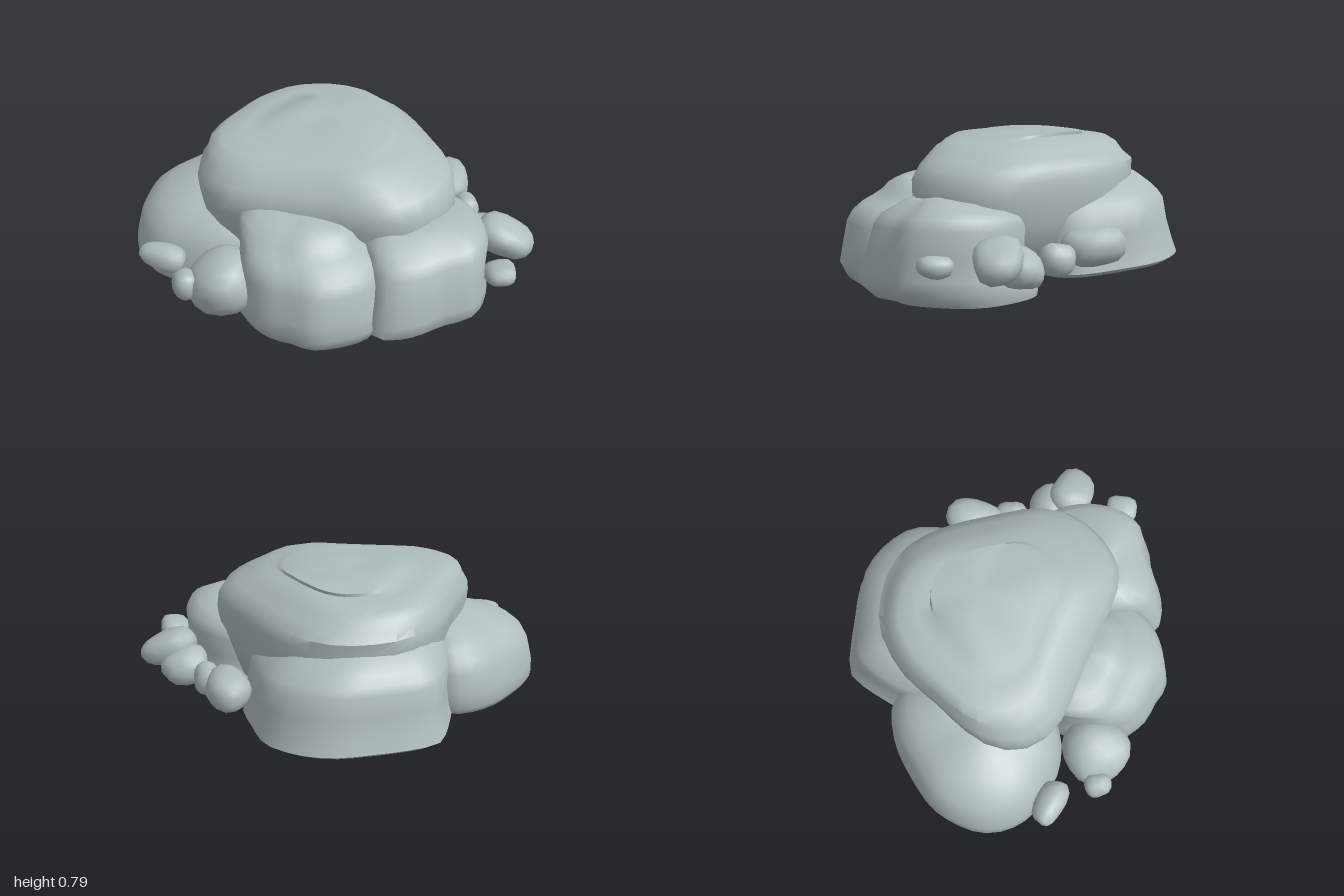
import * as THREE from 'three';
import { mergeVertices, toCreasedNormals } from 'three/addons/utils/BufferGeometryUtils.js';

const stone = new THREE.MeshStandardMaterial({ color: 0xb0bcbd });
stone.name = 'greyStone';

// Boulder lofted from a plan outline ([x, z] points, +x towards +z) through
// levels [y, scale, dx, dz, extra z scale]; tilt slopes every level along x and z.
function boulder(name, outline, levels, tilt = [0, 0], seed = 0) {
  const N = 36;
  const curve = new THREE.CatmullRomCurve3(
    outline.map(([x, z]) => new THREE.Vector3(x, 0, z)), true, 'centripetal');
  const plan = curve.getSpacedPoints(N).slice(0, N);
  const mid = plan.reduce((s, p) => s.add(p), new THREE.Vector3()).divideScalar(N);
  const pos = [], index = [];
  const put = (px, pz, y) => pos.push(mid.x + px, y + px * tilt[0] + pz * tilt[1], mid.z + pz);

  for (const [y, s, dx = 0, dz = 0, sz = 1] of levels) {
    plan.forEach((p, j) => {
      const a = (j / N) * Math.PI * 2;
      const k = s * (1 - 0.01 * (1 + Math.sin(5 * a + 6 * y + seed)));
      const lift = 0.005 * Math.sin(3 * a + seed + 4 * y);
      put((p.x - mid.x) * k + dx, (p.z - mid.z) * k * sz + dz, y + lift);
    });
  }
  for (let i = 0; i < levels.length - 1; i++) {
    for (let j = 0; j < N; j++) {
      const a = i * N + j, b = i * N + (j + 1) % N;
      index.push(a, a + N, b, b, a + N, b + N);
    }
  }
  // bottom and top caps
  const first = levels[0], last = levels[levels.length - 1];
  const c = levels.length * N, top = (levels.length - 1) * N;
  put(first[2] || 0, first[3] || 0, first[0]);
  put(last[2] || 0, last[3] || 0, last[0] + 0.002);
  for (let j = 0; j < N; j++) {
    const n = (j + 1) % N;
    index.push(c, j, n, c + 1, top + n, top + j);
  }
  const geo = new THREE.BufferGeometry();
  geo.setAttribute('position', new THREE.Float32BufferAttribute(pos, 3));
  geo.setIndex(index);
  const mesh = new THREE.Mesh(toCreasedNormals(geo, 0.85), stone);
  mesh.name = name;
  return mesh;
}

// Small worn stone: a squared-off ball with gentle lumps
function pebble(name, [x, y, z], [w, h, d], turn, lean, seed) {
  let geo = new THREE.IcosahedronGeometry(1, 2);
  geo.deleteAttribute('normal');
  geo.deleteAttribute('uv');
  geo = mergeVertices(geo, 1e-4);
  const p = geo.attributes.position, v = new THREE.Vector3();
  for (let i = 0; i < p.count; i++) {
    v.fromBufferAttribute(p, i);
    const q = Math.pow(Math.abs(v.x) ** 3 + Math.abs(v.y) ** 3 + Math.abs(v.z) ** 3, -1 / 3);
    const lump = 1 + 0.07 * Math.sin(3 * v.x + seed) + 0.06 * Math.sin(4 * v.z + 2 * v.y + seed * 2);
    v.multiplyScalar((0.4 + 0.57 * q) * lump);
    p.setXYZ(i, v.x * w / 2, v.y * h / 2, v.z * d / 2);
  }
  geo.computeVertexNormals();
  const mesh = new THREE.Mesh(geo, stone);
  mesh.name = name;
  mesh.position.set(x, y, z);
  mesh.rotation.set(0, turn, lean);
  return mesh;
}

export function createModel() {
  const group = new THREE.Group();
  group.name = 'rockPile';

  // Large central boulder with a shallow step in its nearly flat top
  group.add(boulder('mainBoulder', [
    [0.6, 0.02], [0.6, 0.18], [0.52, 0.35], [0.38, 0.46], [0.25, 0.47], [0.05, 0.44],
    [-0.2, 0.42], [-0.45, 0.38], [-0.6, 0.27], [-0.66, 0.1], [-0.63, -0.05], [-0.53, -0.24],
    [-0.42, -0.44], [-0.25, -0.6], [0, -0.64], [0.2, -0.58], [0.37, -0.42], [0.5, -0.2],
  ], [
    [0.15, 0.72], [0.2, 0.88], [0.38, 0.97], [0.5, 1], [0.58, 1, -0.01], [0.64, 0.97, -0.02, -0.02],
    [0.675, 0.9, -0.04, -0.02], [0.72, 0.83, -0.07, -0.03], [0.75, 0.73, -0.08, -0.04],
    [0.762, 0.6, -0.05, -0.04], [0.764, 0.53, -0.01, -0.03], [0.779, 0.48, 0, -0.06],
    [0.787, 0.25, 0, -0.12],
  ], [0, -0.012], 1));

  // Front boulder with a lower shelf and a smaller raised cap
  group.add(boulder('frontBoulder', [
    [0.31, 0.45], [0.31, 0.58], [0.27, 0.68], [0.18, 0.76], [0, 0.83], [-0.12, 0.8],
    [-0.22, 0.78], [-0.35, 0.67], [-0.41, 0.5], [-0.38, 0.3], [-0.1, 0.2], [0.2, 0.25],
  ], [
    [0.04, 0.78], [0.06, 0.92], [0.13, 1.02], [0.2, 0.98], [0.34, 0.96, 0, -0.01, 0.97],
    [0.39, 0.94, -0.01, -0.02, 0.93], [0.425, 0.9, -0.02, -0.04, 0.9],
    [0.45, 0.84, -0.05, -0.06, 0.85], [0.48, 0.8, -0.07, -0.08, 0.78],
    [0.515, 0.74, -0.07, -0.09, 0.75], [0.54, 0.58, -0.06, -0.1, 0.75], [0.552, 0.35, -0.05, -0.1],
  ], [-0.04, 0], 2));

  // Front left boulder
  group.add(boulder('frontLeftBoulder', [
    [0.71, 0.06], [0.78, 0.2], [0.79, 0.38], [0.73, 0.54], [0.6, 0.61], [0.46, 0.7],
    [0.3, 0.72], [0.22, 0.62], [0.15, 0.35], [0.2, 0.05], [0.4, -0.09], [0.6, -0.05],
  ], [
    [0.02, 0.72, -0.04, -0.06], [0.04, 0.9, 0, -0.05, 1.05], [0.1, 1, 0, -0.02, 1.04], [0.16, 0.99],
    [0.27, 0.95, 0, -0.01, 0.97], [0.38, 0.96, 0, -0.03, 0.93], [0.43, 0.92, -0.01, -0.04, 0.9],
    [0.46, 0.84, -0.03, -0.05, 0.85], [0.495, 0.66, -0.05, -0.03, 0.8], [0.51, 0.4, -0.08, 0, 0.8],
  ], [0.05, 0], 3));

  // Right boulder, rising towards the back and centre
  group.add(boulder('rightBoulder', [
    [-0.3, 0.05], [-0.38, 0.36], [-0.55, 0.42], [-0.7, 0.41], [-0.86, 0.35], [-0.96, 0.24],
    [-1.01, 0.1], [-0.98, -0.1], [-0.86, -0.26], [-0.68, -0.43], [-0.5, -0.47], [-0.33, -0.25],
  ], [
    [0.1, 0.85], [0.11, 0.96], [0.14, 1], [0.21, 0.99], [0.31, 0.95, 0.01], [0.37, 0.89, 0.02],
    [0.42, 0.79, 0.04], [0.455, 0.66, 0.05], [0.485, 0.52, 0.08], [0.52, 0.35, 0.12],
  ], [0, -0.09], 4));

  // Back boulder with a flared foot and a rounded top
  group.add(boulder('backBoulder', [
    [0.48, -0.25], [0.3, -0.08], [0, 0], [-0.3, -0.1], [-0.53, -0.28], [-0.52, -0.45], [-0.47, -0.62],
    [-0.41, -0.74], [-0.28, -0.79], [-0.1, -0.83], [0.07, -0.85], [0.24, -0.81], [0.39, -0.7], [0.45, -0.5],
  ], [
    [0.125, 0.82], [0.135, 0.95], [0.155, 1.01], [0.22, 0.98, 0, 0.01], [0.32, 0.96, 0, 0.03],
    [0.42, 0.95, -0.01, 0.04], [0.46, 0.91, -0.02, 0.05], [0.5, 0.84, -0.03, 0.06],
    [0.55, 0.74, -0.05, 0.08], [0.6, 0.55, -0.07, 0.12], [0.62, 0.35, -0.07, 0.15],
  ], [0, -0.07], 5));

  // Loose stones: position, size, turn, lean, seed
  const stones = [
    [[0.555, 0.29, -0.37], [0.23, 0.18, 0.31], 0.15, 0.1, 1],
    [[0.665, 0.25, -0.195], [0.14, 0.15, 0.16], 0.3, 0.2, 2],
    [[0.78, 0.23, -0.02], [0.25, 0.18, 0.2], 0.3, -0.2, 3],
    [[0.865, 0.285, 0.09], [0.28, 0.17, 0.25], -0.1, -0.35, 4],
    [[0.845, 0.26, 0.365], [0.15, 0.11, 0.17], 0.2, 0.1, 5],
    [[-0.79, 0.26, 0.425], [0.24, 0.13, 0.15], -0.2, -0.1, 6],
    [[-0.47, 0.25, 0.575], [0.35, 0.27, 0.35], 0.15, 0.35, 7],
    [[-0.63, 0.25, 0.625], [0.14, 0.15, 0.13], 0.4, 0.1, 8],
  ];
  stones.forEach((s, i) => group.add(pebble('looseStone' + (i + 1), ...s)));
  return group;
}
